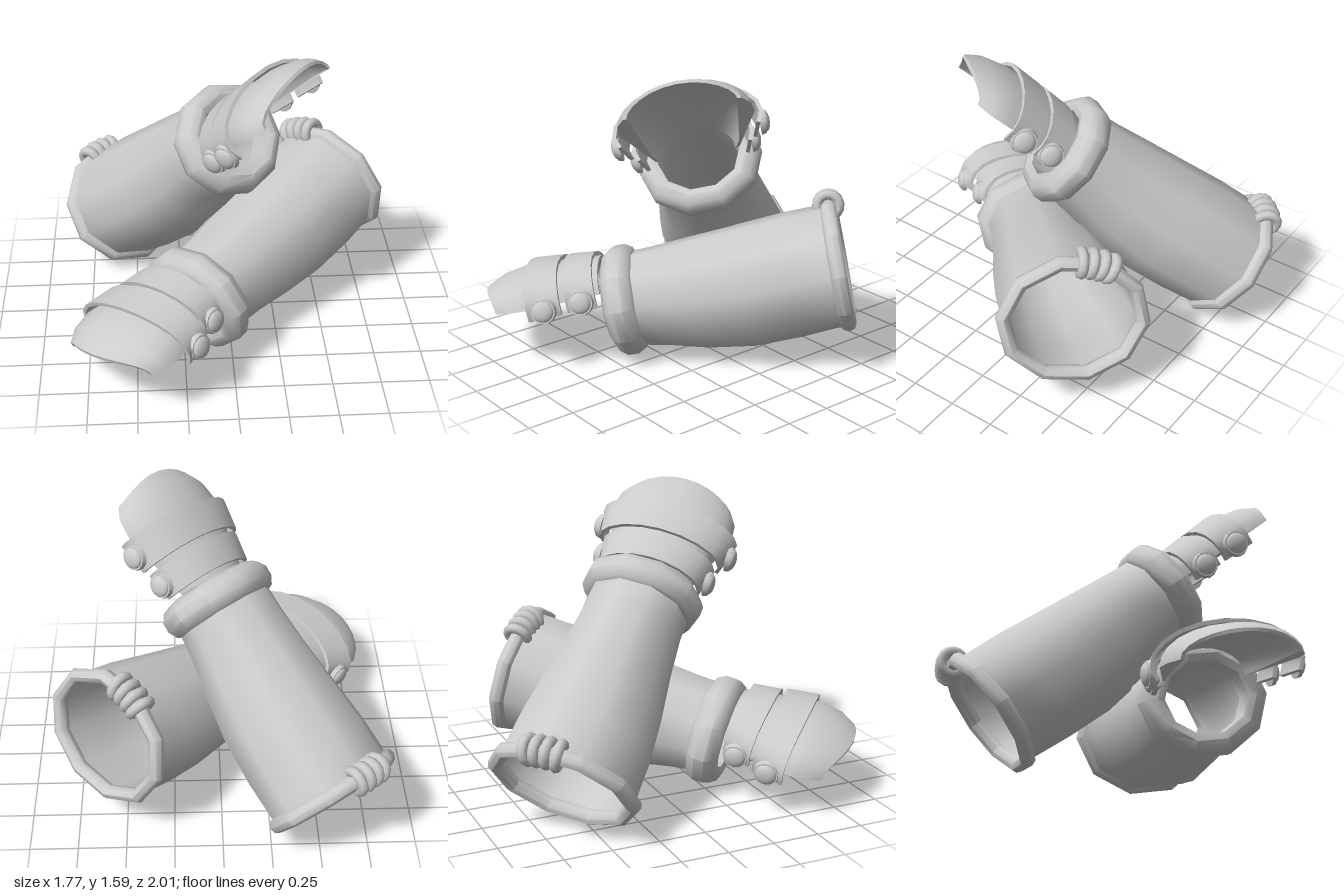
import * as THREE from 'three';
import { toCreasedNormals } from 'three/addons/utils/BufferGeometryUtils.js';

const grey = new THREE.MeshStandardMaterial({ color: 0xcccccc, side: THREE.DoubleSide });
const V = (x, y, z) => new THREE.Vector3(x, y, z);

function part(name, geometry, parent) {
  const mesh = new THREE.Mesh(geometry, grey);
  mesh.name = name;
  parent.add(mesh);
  return mesh;
}

// Skin a row of closed cross-sections; closed joins the last to the first, otherwise ends are capped
function loft(sections, closed) {
  const n = sections.length, m = sections[0].length, index = [];
  for (let i = 0; i < (closed ? n : n - 1); i++) {
    for (let j = 0; j < m; j++) {
      const a = i * m + j, b = ((i + 1) % n) * m + j;
      const c = ((i + 1) % n) * m + (j + 1) % m, d = i * m + (j + 1) % m;
      index.push(a, b, c, a, c, d);
    }
  }
  if (!closed) {
    const e = (n - 1) * m;
    for (let j = 1; j < m - 1; j++) index.push(0, j, j + 1, e, e + j + 1, e + j);
  }
  const g = new THREE.BufferGeometry().setFromPoints(sections.flat());
  g.setIndex(index);
  return toCreasedNormals(g, 0.8);
}

// Ten-sided oval ring from a wall profile of [half width, half height, z, sag]
function ovalRing(profile) {
  const sections = [];
  for (let i = 0; i < 10; i++) {
    const t = i * Math.PI / 5;
    sections.push(profile.map(([w, h, z, sag = 0]) => V(w * Math.cos(t), h * Math.sin(t) - sag, z)));
  }
  return loft(sections, true);
}

// Arched plate with thickness: rows are [z, half width, height, sweep back at the sides]
function archPlate(rows, base, overhang, thick) {
  const sections = [], steps = 12;
  for (let i = 0; i <= steps; i++) {
    const t = -overhang + (Math.PI + 2 * overhang) * i / steps;
    const c = Math.cos(t), s = Math.sin(t);
    const at = (d) => ([z, w, h, sweep]) => V((w - d) * c, base + (h - d) * s, z - sweep * c * c);
    sections.push([...rows.map(at(0)), ...rows.map(at(thick)).reverse()]);
  }
  return loft(sections, false);
}

// side sets where the cord sits, lift raises the hand guard
function makeGauntlet(name, side, lift) {
  const g = new THREE.Group();
  g.name = name;

  // Forearm sleeve, open at both ends
  const wall = [
    [.36, .325, 0, 0], [.355, .333, .25, .015], [.328, .328, .5, .03],
    [.293, .303, .75, .025], [.275, .27, .95, .01], [.272, .25, 1.12, 0],
  ];
  part('sleeve', ovalRing([...wall, ...wall.map(([w, h, z, sag]) => [w - .02, h - .02, z, sag]).reverse()]), g);

  // Rolled rim at the elbow end
  const rim = [];
  for (let i = 0; i < 8; i++) {
    const t = i * Math.PI / 4, r = .038 * Math.cos(t);
    rim.push([.36 + r, .32 + r, .042 * Math.sin(t)]);
  }
  part('cuffRim', ovalRing(rim), g);

  // Thick rounded wrist band
  part('wristBand', ovalRing([
    [.265, .24, 1.06], [.3, .272, 1.075], [.327, .296, 1.12], [.327, .296, 1.175],
    [.3, .27, 1.215], [.255, .225, 1.235], [.215, .187, 1.22], [.215, .187, 1.08],
  ]), g);

  // Cord wound around the rim
  for (let i = 0; i < 4; i++) {
    const t = Math.PI / 2 + side * .2 + (i - 1.5) * .145;
    const coil = part('cordCoil', new THREE.TorusGeometry(.057, .027, 8, 14).rotateY(Math.PI / 2), g);
    coil.position.set(.36 * Math.cos(t), .315 * Math.sin(t), 0);
    coil.rotation.z = t - Math.PI / 2;
  }

  // Hand guard: a shallow shell under two riveted bands
  const hand = new THREE.Group();
  hand.name = 'handGuard';
  hand.position.set(0, lift, 1.18);
  g.add(hand);
  part('handShell', archPlate([
    [.06, .22, .165, 0], [.3, .29, .175, .02], [.47, .34, .18, .03], [.6, .33, .155, .06], [.69, .29, .11, .085],
  ], .06, 0, .018), hand);
  const bands = [
    [[.09, .285, .18, .015], [.24, .315, .19, .015]],
    [[.27, .345, .19, .02], [.44, .38, .2, .02]],
  ];
  bands.forEach((rows) => {
    part('guardBand', archPlate(rows, .07, .35, .02), hand);
    const z = (rows[0][0] + rows[1][0]) / 2 - rows[0][3];
    const x = (rows[0][1] + rows[1][1]) / 2;
    for (const s of [-1, 1]) {
      const stud = new THREE.Group();
      stud.name = 'stud';
      stud.position.set(s * (x + .002), .048, z);
      stud.rotation.z = -s * Math.PI / 2;
      part('studBase', new THREE.CylinderGeometry(.064, .07, .025, 14), stud);
      const dome = part('studDome', new THREE.SphereGeometry(.056, 14, 6, 0, Math.PI * 2, 0, Math.PI / 2), stud);
      dome.scale.y = .45;
      dome.position.y = .012;
      hand.add(stud);
    }
  });
  return g;
}

// Place a gauntlet by its cuff centre, its long axis and its sideways axis
function place(g, origin, axis, across) {
  axis.normalize();
  across.addScaledVector(axis, -across.dot(axis)).normalize();
  const up = axis.clone().cross(across);
  g.quaternion.setFromRotationMatrix(new THREE.Matrix4().makeBasis(across, up, axis));
  g.position.copy(origin);
  return g;
}

export function createModel() {
  const model = new THREE.Group();
  model.name = 'gauntletPair';
  model.add(place(makeGauntlet('lyingGauntlet', 1, .03), V(.585, .525, -.47), V(-.664, -.203, .72), V(.684, .17, .69)));
  model.add(place(makeGauntlet('leaningGauntlet', -1, -.06), V(-.563, .3, -.675), V(.502, .65, .592), V(.6, .16, -.78)));
  return model;
}
